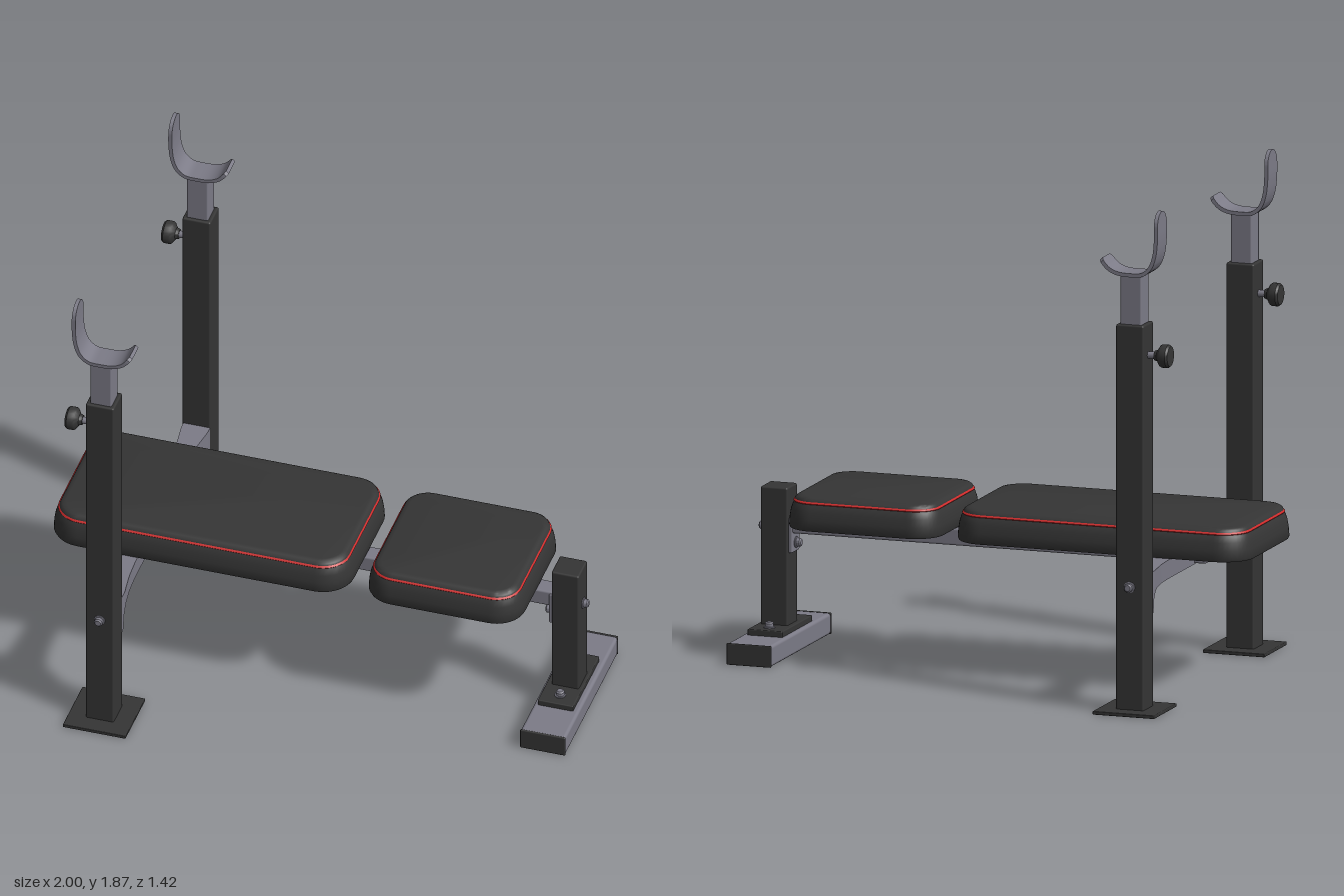
import * as THREE from 'three';
import { toCreasedNormals } from 'three/addons/utils/BufferGeometryUtils.js';
import { RoundedBoxGeometry } from 'three/addons/geometries/RoundedBoxGeometry.js';

const mat = (name, color) => {
  const m = new THREE.MeshStandardMaterial({ color });
  m.name = name;
  return m;
};

// Skin a list of equal-length rings (counterclockwise about the travel direction)
function loft(rings, capStart = true, capEnd = true, crease = 0.6) {
  const n = rings[0].length, last = (rings.length - 1) * n, index = [];
  for (let i = 0; i < rings.length - 1; i++) {
    for (let j = 0; j < n; j++) {
      const a = i * n + j, b = i * n + (j + 1) % n;
      index.push(a, b, b + n, a, b + n, a + n);
    }
  }
  for (let j = 1; j < n - 1; j++) {
    if (capStart) index.push(0, j + 1, j);
    if (capEnd) index.push(last, last + j, last + j + 1);
  }
  const g = new THREE.BufferGeometry();
  g.setAttribute('position', new THREE.Float32BufferAttribute(rings.flat(2), 3));
  g.setIndex(index);
  return toCreasedNormals(g, crease);
}

// Horizontal rounded rectangle at height y
function roundRect(cx, hx, hz, r, y, steps = 10) {
  const ring = [];
  for (let q = 0; q < 4; q++) {
    const sx = q === 0 || q === 3 ? 1 : -1, sz = q < 2 ? -1 : 1;
    for (let i = 0; i <= steps; i++) {
      const a = (q + i / steps) * Math.PI / 2;
      ring.push([cx + sx * (hx - r) + r * Math.cos(a), y, sz * (hz - r) - r * Math.sin(a)]);
    }
  }
  return ring;
}

export function createModel() {
  const model = new THREE.Group();
  model.name = 'weightBench';
  const dark = mat('darkSteelAndVinyl', 0x353535);
  const grey = mat('greySteel', 0x7c7b87);
  const red = mat('redPiping', 0xcc2a2a);

  const add = (name, geo, material, x = 0, y = 0, z = 0, parent = model) => {
    const m = new THREE.Mesh(geo, material);
    m.name = name;
    m.position.set(x, y, z);
    parent.add(m);
    return m;
  };
  // Box given by its extents
  const box = (name, material, [x0, x1], [y0, y1], [z0, z1], r = 0.006, parent = model) =>
    add(name, new RoundedBoxGeometry(x1 - x0, y1 - y0, z1 - z0, 2, r), material,
      (x0 + x1) / 2, (y0 + y1) / 2, (z0 + z1) / 2, parent);
  // Washer and domed head pointing along dir
  const bolt = (x, y, z, dir, parent = model, s = 1) => {
    const pts = [[0, 0], [0.021, 0], [0.021, 0.005], [0.016, 0.006], [0.016, 0.018], [0.011, 0.023], [0, 0.023]];
    const g = new THREE.LatheGeometry(pts.map(([r, h]) => new THREE.Vector2(r * s, h * s)), 14);
    const m = add('bolt', toCreasedNormals(g, 0.6), grey, x, y, z, parent);
    m.quaternion.setFromUnitVectors(new THREE.Vector3(0, 1, 0), new THREE.Vector3(...dir));
  };

  // Cushions: lower body, red piping band, crowned top
  const cushion = (name, x0, x1, hz, r) => {
    const group = new THREE.Group();
    group.name = name;
    model.add(group);
    const cx = (x0 + x1) / 2, hx = (x1 - x0) / 2;
    const rings = (profile) => profile.map(([inset, y]) =>
      roundRect(cx, hx - inset, hz - inset, r - inset, y));
    add('cushionBody', loft(rings([[0.004, 0.51], [0, 0.518], [0.002, 0.55], [0.007, 0.58],
      [0.014, 0.6], [0.018, 0.607]]), true, false, 0.9), dark, 0, 0, 0, group);
    add('cushionPiping', loft(rings([[0.018, 0.607], [0.0155, 0.61], [0.0175, 0.614], [0.021, 0.616]]),
      false, false, 1), red, 0, 0, 0, group);
    add('cushionTop', loft(rings([[0.021, 0.616], [0.024, 0.623], [0.032, 0.629], [0.046, 0.632]]),
      false, true, 0.9), dark, 0, 0, 0, group);
  };
  cushion('backCushion', -1, 0.145, 0.295, 0.12);
  cushion('seatCushion', 0.205, 0.8, 0.287, 0.11);

  // Mounting plates under the cushions
  for (const x of [-0.67, -0.105, 0.425]) {
    add('mountingPlate', loft([roundRect(x, 0.125, 0.12, 0.05, 0.497), roundRect(x, 0.125, 0.12, 0.05, 0.512)]), grey);
    for (const dx of [-0.068, 0.068]) for (const z of [-0.085, 0.085]) bolt(x + dx, 0.498, z, [0, -1, 0]);
  }

  // Main rail
  box('mainRail', grey, [-0.76, 0.862], [0.443, 0.507], [-0.035, 0.035], 0.008);
  box('railFlange', grey, [0.845, 0.862], [0.37, 0.5], [-0.04, 0.04]);
  bolt(0.846, 0.405, 0, [-1, 0, 0]);
  bolt(-0.67, 0.444, 0, [0, -1, 0]);

  // Cross beam, flaring down and outward at both ends
  const half = [[0, 0.033, 0.44], [0.32, 0.033, 0.44], [0.4, 0.037, 0.44], [0.47, 0.046, 0.438],
    [0.497, 0.05, 0.428], [0.512, 0.051, 0.41], [0.52, 0.051, 0.355], [0.535, 0.051, 0.35]];
  const stations = [...half.slice(1).reverse().map(([z, w, b]) => [-z, w, b]), ...half];
  add('crossBeam', loft(stations.map(([z, w, b]) => [[w, b, z], [w, 0.51, z], [-w, 0.51, z], [-w, b, z]])),
    grey, -0.682, 0, 0);

  // Bar hook strip: centre line with half width at each point
  const curve = new THREE.CatmullRomCurve3([[-0.1, 1.87], [-0.1, 1.76], [-0.092, 1.7], [-0.075, 1.66],
    [-0.045, 1.636], [0, 1.632], [0.05, 1.636], [0.085, 1.652], [0.115, 1.685]]
    .map(([x, y]) => new THREE.Vector3(x, y, 0)));
  const hookRings = [], steps = 56, length = curve.getLength();
  for (let i = 0; i <= steps; i++) {
    const u = Math.pow(i / steps, 1.3), p = curve.getPointAt(u), t = curve.getTangentAt(u);
    const round = (d, r) => (d < r ? Math.sqrt(Math.max(0.003, 1 - (1 - d / r) ** 2)) : 1);
    const w = 0.05 * round(u * length, 0.055) * (0.75 + 0.25 * round((1 - u) * length, 0.02));
    const h = 0.007;
    hookRings.push([[1, 1], [-1, 1], [-1, -1], [1, -1]].map(([a, b]) =>
      [p.x + b * h * t.y, p.y - b * h * t.x, a * w]));
  }
  const hookGeo = loft(hookRings);
  const knobGeo = toCreasedNormals(new THREE.LatheGeometry([[0, 0], [0.018, 0], [0.022, 0.012], [0.04, 0.024],
    [0.043, 0.03], [0.043, 0.052], [0.037, 0.06], [0, 0.062]].map(p => new THREE.Vector2(...p)), 24), 0.6);

  // Uprights with base plate, telescoping tube, hook and locking knob
  for (const side of [1, -1]) {
    const up = new THREE.Group();
    up.name = side > 0 ? 'frontUpright' : 'backUpright';
    up.position.set(-0.684, 0, side * 0.588);
    model.add(up);
    box('basePlate', dark, [-0.12, 0.12], [0, 0.013], [-0.12, 0.12], 0.003, up);
    box('post', dark, [-0.054, 0.054], [0.008, 1.447], [-0.053, 0.053], 0.007, up);
    box('innerTube', grey, [-0.041, 0.041], [1.4, 1.632], [-0.041, 0.041], 0.006, up);
    add('barHook', hookGeo, grey, 0, 0, 0, up);
    const stem = add('knobStem', new THREE.CylinderGeometry(0.013, 0.013, 0.05, 14), grey, -0.065, 1.33, 0, up);
    stem.rotation.z = Math.PI / 2;
    add('lockingKnob', knobGeo, dark, -0.08, 1.33, 0, up).rotation.z = Math.PI / 2;
    bolt(0, 0.47, side * 0.053, [0, 0, side], up);
    bolt(0, 0.38, -side * 0.068, [0, 0, -side], up);
  }

  // Front leg with foot
  box('frontLeg', dark, [0.859, 0.964], [0.09, 0.615], [-0.053, 0.053], 0.007);
  bolt(0.963, 0.46, 0, [1, 0, 0]);
  box('legPlate', dark, [0.84, 0.976], [0.078, 0.102], [-0.16, 0.16], 0.004);
  box('foot', grey, [0.825, 0.997], [0, 0.08], [-0.322, 0.322], 0.012);
  for (const s of [-1, 1]) {
    bolt(0.91, 0.101, s * 0.107, [0, 1, 0]);
    box('footEndCap', dark, [0.8245, 0.9975], [0, 0.0805], s > 0 ? [0.316, 0.325] : [-0.325, -0.316], 0.004);
  }
  return model;
}
